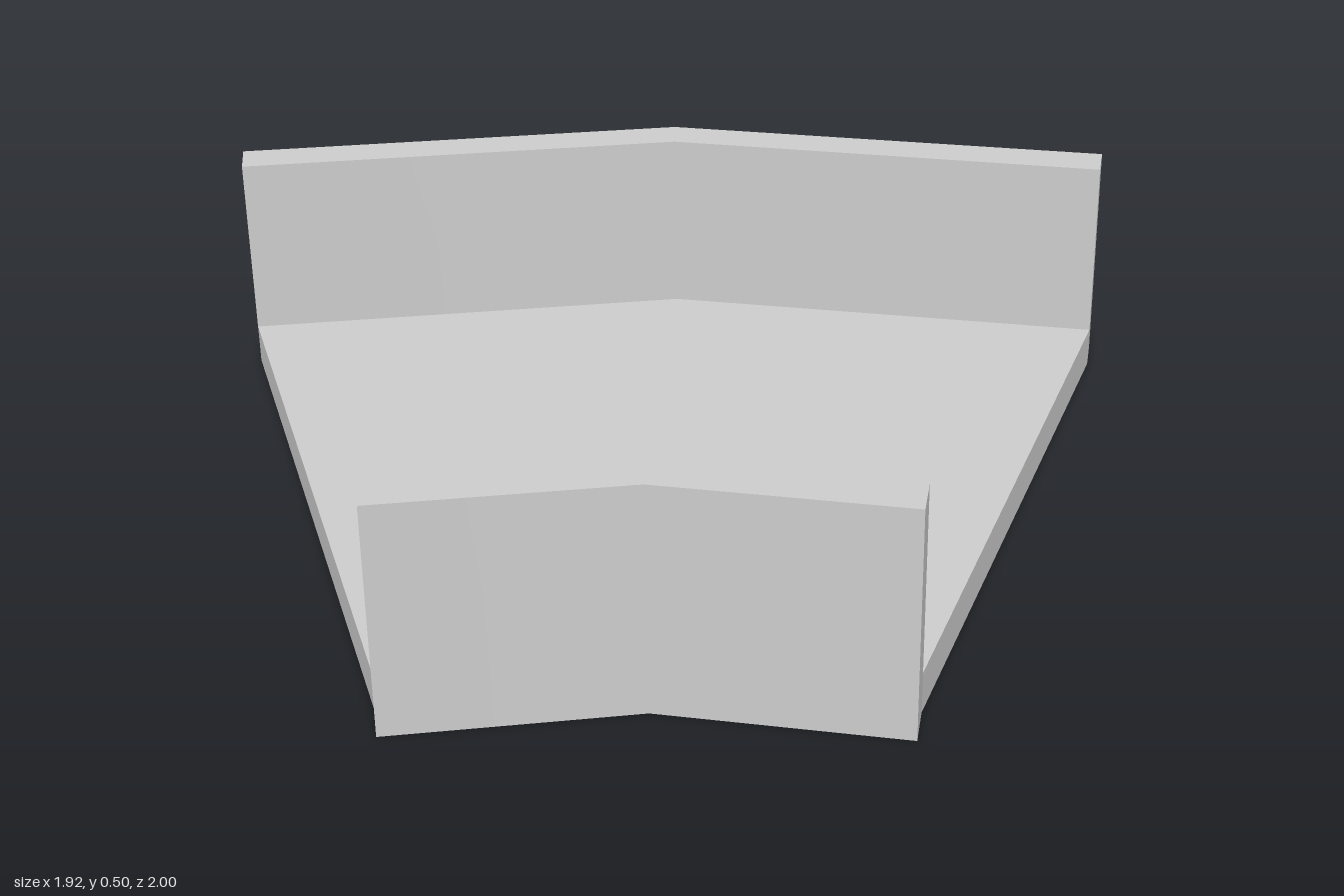
import * as THREE from 'three';
import { toCreasedNormals } from 'three/addons/utils/BufferGeometryUtils.js';

const WALL_HEIGHT = 0.5;
const FLOOR_HEIGHT = 0.09;

// Plan outlines as [x, z], running from the right end to the left end
const backOuter = [[-0.937, -1], [0.06, -0.842], [0.96, -0.385]];
const backInner = [[-0.952, -0.91], [0.035, -0.755], [0.918, -0.302]];
const frontInner = [[-0.948, 0.6], [-0.433, 0.677], [0.037, 0.917]];
const frontOuter = [[-0.96, 0.685], [-0.455, 0.765], [-0.003, 1]];

// Upright prism between two plan edges, smooth across the gentle bend
function slab(name, edgeA, edgeB, height, material) {
  const outline = [...edgeA, ...[...edgeB].reverse()];
  const shape = new THREE.Shape(outline.map(([x, z]) => new THREE.Vector2(x, z)));
  const geometry = new THREE.ExtrudeGeometry(shape, { depth: height, bevelEnabled: false });
  geometry.rotateX(Math.PI / 2);
  geometry.translate(0, height, 0);
  const mesh = new THREE.Mesh(toCreasedNormals(geometry, 0.6), material);
  mesh.name = name;
  return mesh;
}

export function createModel() {
  const group = new THREE.Group();
  group.name = 'bentChannel';
  const material = new THREE.MeshStandardMaterial({ color: 0xcccccc });

  group.add(
    slab('floor', backInner, frontInner, FLOOR_HEIGHT, material),
    slab('backWall', backOuter, backInner, WALL_HEIGHT, material),
    slab('frontWall', frontInner, frontOuter, WALL_HEIGHT, material),
  );
  return group;
}
